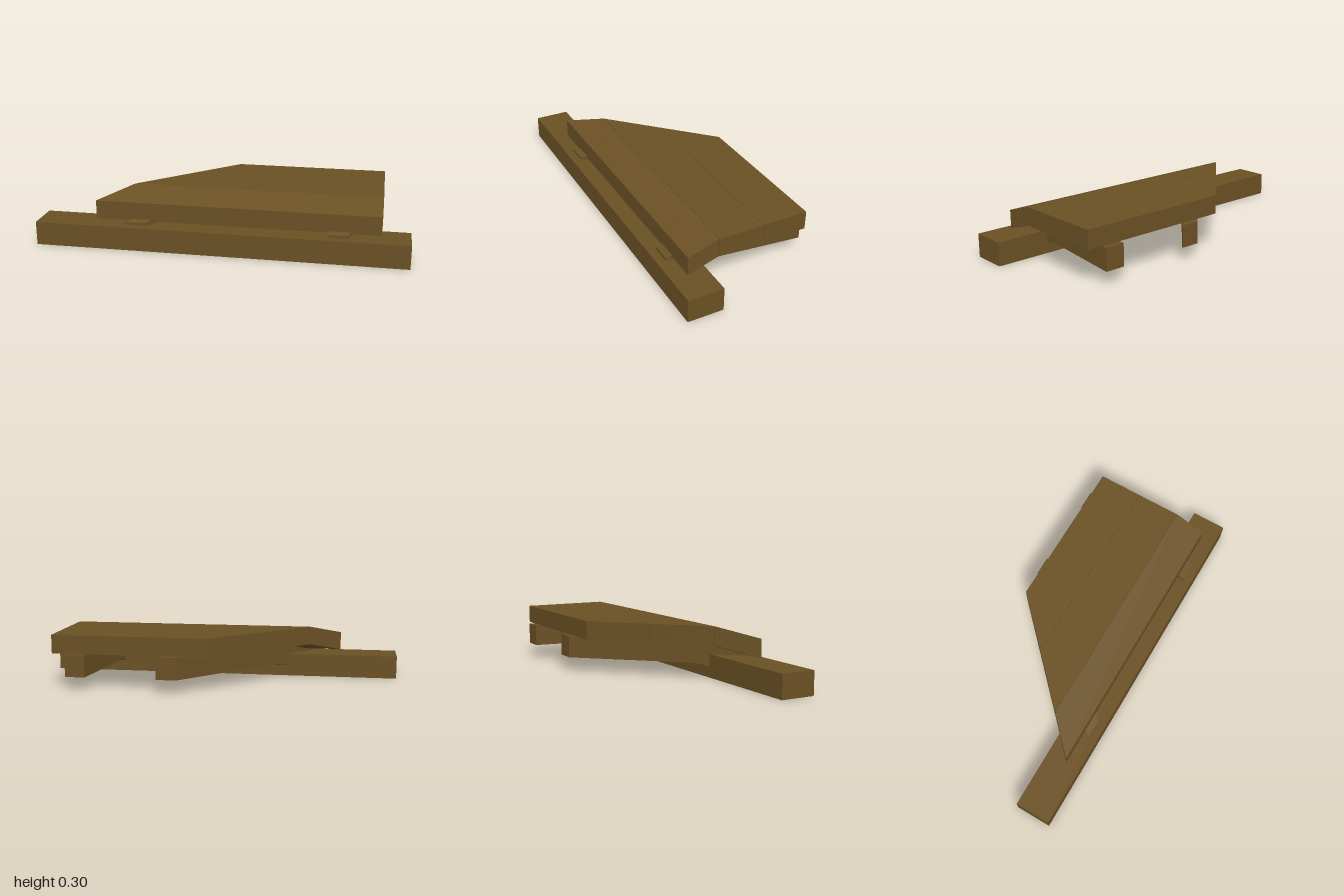
import * as THREE from 'three';

const wood = new THREE.MeshStandardMaterial({ color: 0x6a5024 });
wood.name = 'brown timber';

// Timber running along z through sections [z, xMin, xMax, yMin, yMax], back to front
function timber(name, sections) {
  const n = sections.length - 1;
  const box = new THREE.BoxGeometry(1, 1, 1, 1, 1, n);
  const p = box.attributes.position;
  for (let i = 0; i < p.count; i++) {
    const [z, x0, x1, y0, y1] = sections[Math.round((p.getZ(i) + 0.5) * n)];
    p.setXYZ(i, p.getX(i) < 0 ? x0 : x1, p.getY(i) < 0 ? y0 : y1, z);
  }
  const geo = box.toNonIndexed();
  geo.computeVertexNormals();
  const mesh = new THREE.Mesh(geo, wood);
  mesh.name = name;
  return mesh;
}

export function createModel() {
  const group = new THREE.Group();
  group.name = 'timberRamp';

  // Long beam under the front edge
  group.add(timber('frontBeam', [
    [0.195, -1, 1, 0, 0.128],
    [0.389, -1, 1, 0, 0.128],
  ]));

  // Deck boards, cut diagonally on one side; the front one slopes down
  const cut = (z) => -1.023 * (z + 0.356);
  const board = (name, zBack, zFront, drop) => timber(name, [
    [zBack, cut(zBack), 0.85, 0.197, 0.298],
    [zFront, cut(zFront), 0.85, 0.197 - drop, 0.298 - drop],
  ]);
  group.add(
    board('backBoard', -0.356, -0.110, 0),
    board('middleBoard', -0.108, 0.138, 0),
    board('frontBoard', 0.140, 0.309, 0.054),
  );

  // Slanted joists that bend down onto the beam
  const joist = (name, xBack, xFront) => {
    const width = 0.108;
    const section = (z, y0, y1) => {
      const x = THREE.MathUtils.mapLinear(z, -0.389, 0.343, xBack, xFront);
      return [z, x, x + width, y0, y1];
    };
    return timber(name, [
      section(-0.389, 0.077, 0.197),
      section(0.139, 0.077, 0.197),
      section(0.343, 0.02, 0.143),
    ]);
  };
  group.add(joist('leftJoist', 0.661, 0.577), joist('rightJoist', 0.166, -0.511));

  // Small nail heads above the joists
  const nails = [
    [0.665, -0.231, 0], [0.62, 0.016, 0], [0.575, 0.223, 1],
    [0.055, -0.231, 0], [-0.15, 0.016, 0], [-0.325, 0.223, 1],
  ];
  for (const [x, z, sloped] of nails) {
    const nail = new THREE.Mesh(new THREE.CylinderGeometry(0.012, 0.012, 0.008, 8), wood);
    nail.name = 'nailHead';
    nail.scale.z = 1.25;
    nail.position.set(x, sloped ? 0.269 : 0.297, z);
    if (sloped) nail.rotation.x = 0.31;
    group.add(nail);
  }
  return group;
}
